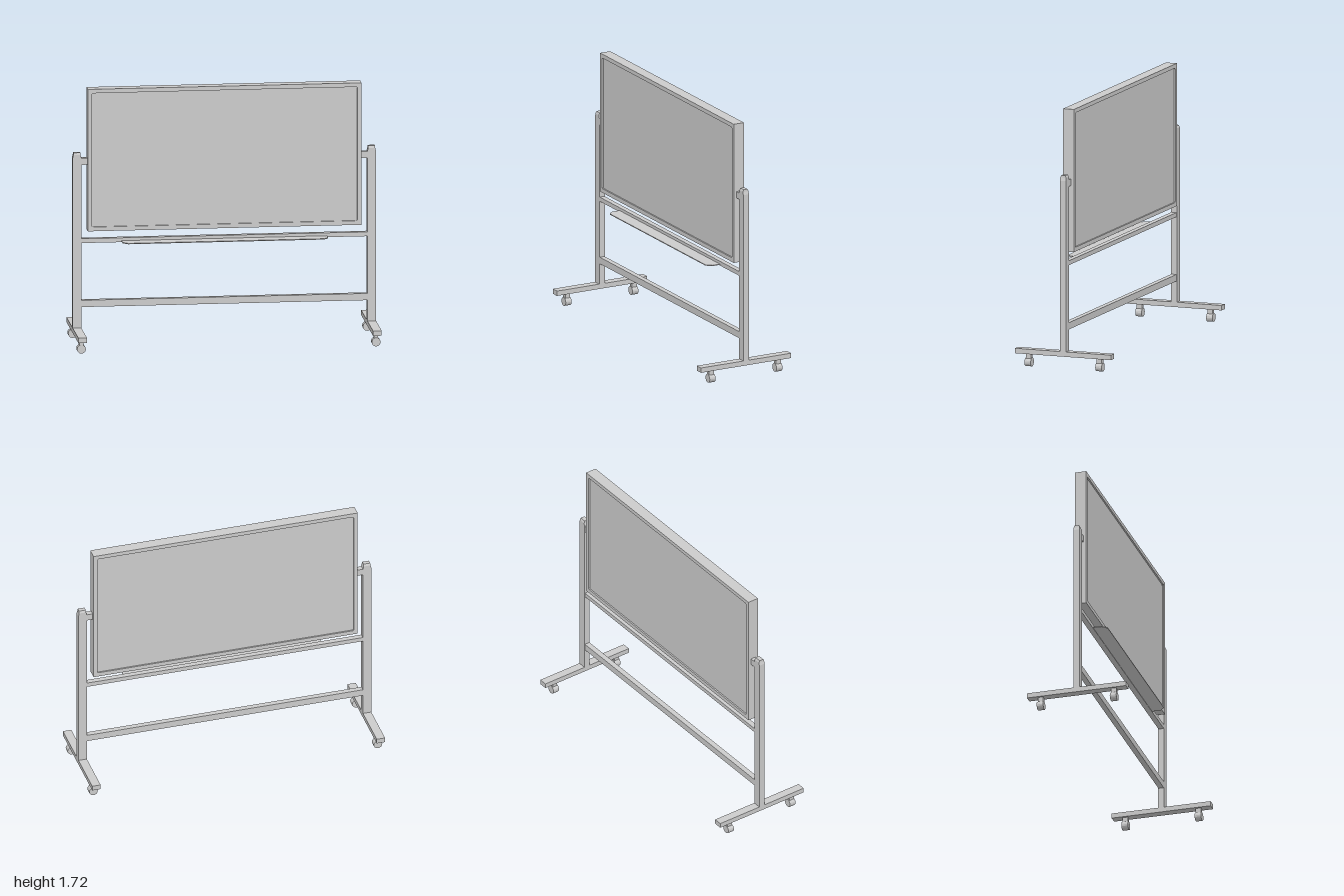
import * as THREE from 'three';

const material = new THREE.MeshStandardMaterial({ color: 0xcccccc, flatShading: true });

function add(parent, name, geometry, x = 0, y = 0, z = 0) {
  const mesh = new THREE.Mesh(geometry, material);
  mesh.name = name;
  mesh.position.set(x, y, z);
  parent.add(mesh);
  return mesh;
}

const box = (w, h, d) => new THREE.BoxGeometry(w, h, d);

// box whose top face is scaled in
function taperedBox(w, h, d, sx, sz) {
  const geometry = box(w, h, d);
  const p = geometry.attributes.position;
  for (let i = 0; i < p.count; i++) {
    if (p.getY(i) > 0) p.setXYZ(i, p.getX(i) * sx, p.getY(i), p.getZ(i) * sz);
  }
  geometry.computeVertexNormals();
  return geometry;
}

// rectangle with cut corners
function cutRect(path, x, y0, y1, c) {
  path.moveTo(-x + c, y0);
  path.lineTo(x - c, y0);
  path.lineTo(x, y0 + c);
  path.lineTo(x, y1 - c);
  path.lineTo(x - c, y1);
  path.lineTo(-x + c, y1);
  path.lineTo(-x, y1 - c);
  path.lineTo(-x, y0 + c);
  path.closePath();
  return path;
}

function board() {
  const group = new THREE.Group();
  group.name = 'board';
  const frame = new THREE.Shape([
    [-0.902, 0.767], [0.902, 0.767], [0.902, 1.717], [-0.902, 1.717],
  ].map(([x, y]) => new THREE.Vector2(x, y)));
  frame.holes.push(cutRect(new THREE.Path(), 0.875, 0.795, 1.69, 0.006));
  const frameGeometry = new THREE.ExtrudeGeometry(frame, { depth: 0.076, bevelEnabled: false });
  add(group, 'boardFrame', frameGeometry, 0, 0, -0.038);
  // writing surface, recessed on both sides
  add(group, 'boardPanel', box(1.76, 0.905, 0.056), 0, 1.2425, 0);
  return group;
}

function caster(z) {
  const group = new THREE.Group();
  group.name = 'caster';
  add(group, 'casterStem', box(0.028, 0.05, 0.036), 0, 0.062, 0);
  const wheel = add(group, 'casterWheel', new THREE.CylinderGeometry(0.029, 0.029, 0.044, 16), 0, 0.029, 0);
  wheel.rotation.x = Math.PI / 2;
  group.position.z = z;
  return group;
}

// post, foot, casters and pivot of one side
function sideStand(side) {
  const group = new THREE.Group();
  group.name = side > 0 ? 'leftStand' : 'rightStand';
  add(group, 'post', box(0.057, 1.155, 0.042), 0, 0.6775, 0);
  add(group, 'postShoulder', taperedBox(0.057, 0.02, 0.042, 0.82, 1), 0, 1.265, 0);
  add(group, 'postCap', taperedBox(0.0467, 0.015, 0.042, 0.96, 0.7), 0, 1.2825, 0);
  add(group, 'foot', box(0.057, 0.033, 0.676), 0, 0.1015, 0);
  add(group, 'pivotArm', box(0.05, 0.044, 0.036), -side * 0.05, 1.231, 0);
  for (const z of [-0.25, 0.25]) group.add(caster(z));
  group.position.x = side * 0.9715;
  return group;
}

export function createModel() {
  const model = new THREE.Group();
  model.name = 'rollingBoard';
  model.add(board(), sideStand(1), sideStand(-1));

  // rails between the posts
  add(model, 'upperRail', box(1.89, 0.029, 0.036), 0, 0.7, 0);
  add(model, 'lowerRail', box(1.89, 0.045, 0.036), 0, 0.28, 0);

  // thin tray with cut front corners
  const tray = new THREE.Shape([
    [-0.677, 0.015], [0.677, 0.015], [0.677, 0.075], [0.645, 0.108], [-0.645, 0.108], [-0.677, 0.075],
  ].map(([x, z]) => new THREE.Vector2(x, z)));
  const trayGeometry = new THREE.ExtrudeGeometry(tray, { depth: 0.006, bevelEnabled: false });
  trayGeometry.rotateX(Math.PI / 2);
  add(model, 'tray', trayGeometry, 0, 0.695, 0);
  return model;
}
